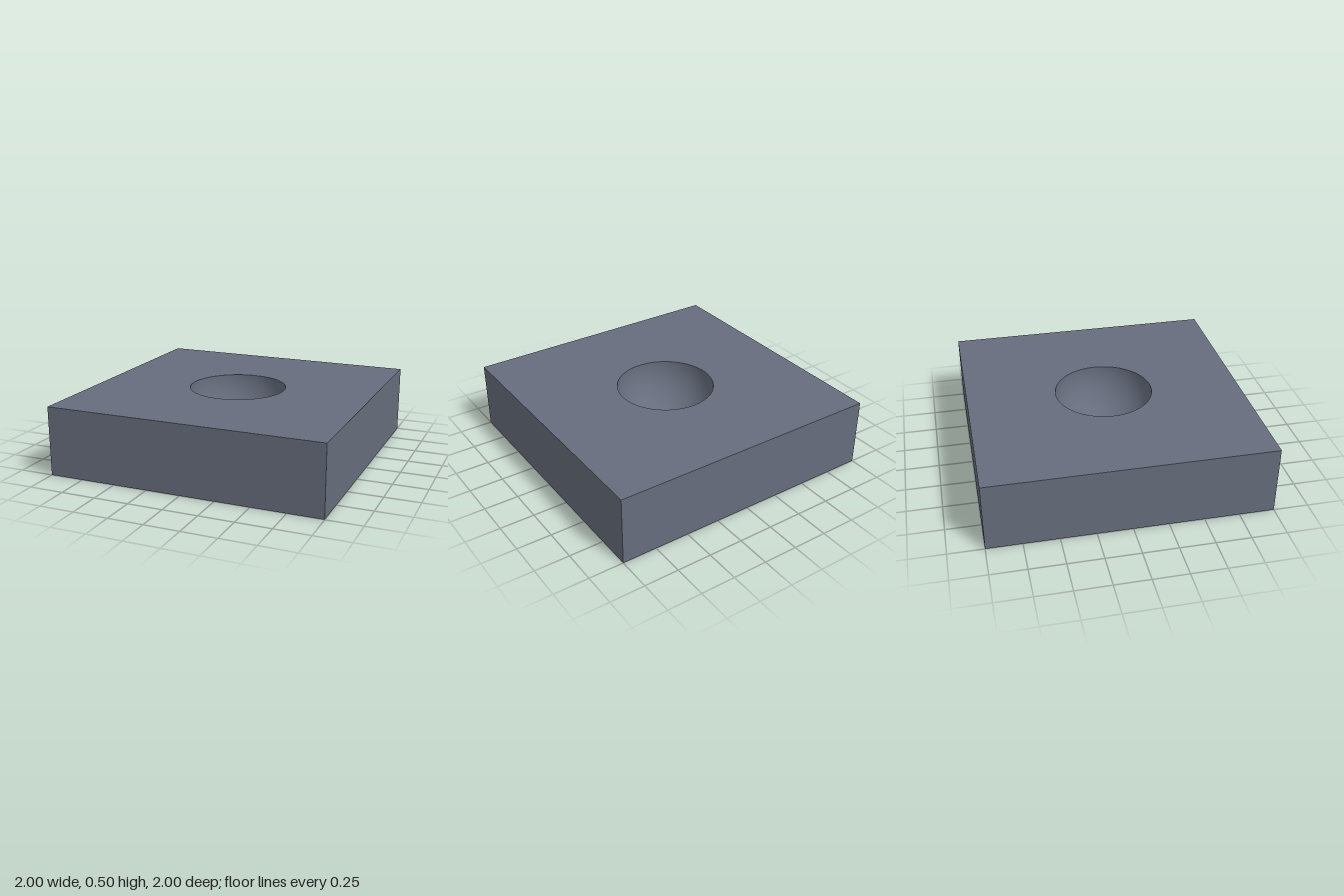
import * as THREE from 'three';

const SIZE = 2, HEIGHT = 0.5, RADIUS = 0.355, SEGMENTS = 64;

export function createModel() {
  const group = new THREE.Group();
  group.name = 'dimpledBlock';
  const material = new THREE.MeshStandardMaterial({ color: 0x666c7c });
  const add = (name, geometry) => {
    const mesh = new THREE.Mesh(geometry, material);
    mesh.name = name;
    group.add(mesh);
  };
  const h = SIZE / 2;

  // Four side walls
  for (let i = 0; i < 4; i++) {
    const wall = new THREE.PlaneGeometry(SIZE, HEIGHT).translate(0, HEIGHT / 2, h);
    add('sideWall', wall.rotateY(i * Math.PI / 2));
  }

  // Flat underside
  add('underside', new THREE.PlaneGeometry(SIZE, SIZE).rotateX(Math.PI / 2));

  // Top face with a round opening
  const top = new THREE.Shape([[-h, -h], [h, -h], [h, h], [-h, h]].map(([x, y]) => new THREE.Vector2(x, y)));
  top.holes.push(new THREE.Path().absarc(0, 0, RADIUS, 0, Math.PI * 2, true));
  add('topFace', new THREE.ShapeGeometry(top, SEGMENTS).rotateX(-Math.PI / 2).translate(0, HEIGHT, 0));

  // Hemispherical hollow: lower half of a sphere turned inside out
  const bowl = new THREE.SphereGeometry(RADIUS, SEGMENTS, 24, 0, Math.PI * 2, Math.PI / 2, Math.PI / 2);
  const index = bowl.index.array;
  for (let i = 0; i < index.length; i += 3) [index[i], index[i + 1]] = [index[i + 1], index[i]];
  const normals = bowl.attributes.normal.array;
  for (let i = 0; i < normals.length; i++) normals[i] *= -1;
  add('hollow', bowl.translate(0, HEIGHT, 0));

  return group;
}
